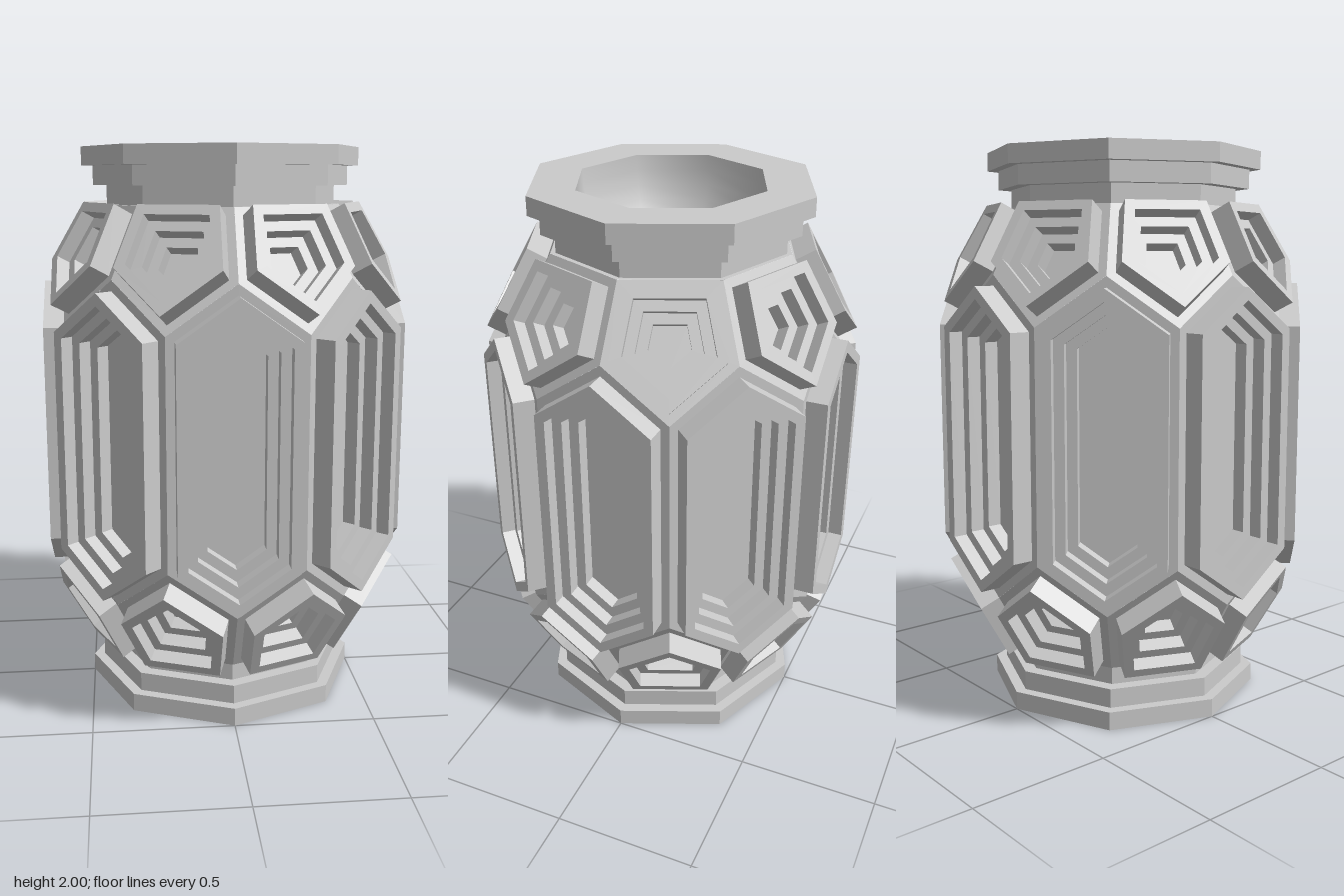
import * as THREE from 'three';

const SIDES = 8;
const APOTHEM = 0.567;                                  // body wall distance from the axis
const CORNER = APOTHEM / Math.cos(Math.PI / SIDES);     // body corner radius
const HALF = APOTHEM * Math.tan(Math.PI / SIDES);       // half width of a wall
const TILT = Math.atan2(0.475, 0.88);                   // lean of the shoulder facets

// [inset, height] of each loop: flat border, raised frame, three steps down
const STEPS = [
  [0, 0], [0.03, 0], [0.03, 0.074], [0.065, 0.074], [0.065, 0.024],
  [0.1, 0.024], [0.1, -0.026], [0.135, -0.026], [0.135, -0.076],
];

// Moves every edge of a counter-clockwise convex outline inward by d
function inset(outline, d) {
  const n = outline.length;
  return outline.map((p, i) => {
    const e1 = p.clone().sub(outline[(i + n - 1) % n]).normalize();
    const e2 = outline[(i + 1) % n].clone().sub(p).normalize();
    const n1 = new THREE.Vector2(-e1.y, e1.x);
    const n2 = new THREE.Vector2(-e2.y, e2.x);
    return p.clone().addScaledVector(n1.clone().add(n2), d / (1 + n1.dot(n2)));
  });
}

// Stepped, framed facet lying in the xy plane and facing +z
function panelGeometry(points) {
  const outline = points.map(([x, y]) => new THREE.Vector2(x, y));
  const n = outline.length;
  const positions = [];
  const index = [];
  STEPS.forEach(([d, h], k) => {
    inset(outline, d).forEach((p) => positions.push(p.x, p.y, h));
    if (k === 0) return;
    for (let i = 0; i < n; i++) {
      const j = (i + 1) % n;
      const a = (k - 1) * n, b = k * n;
      index.push(a + i, a + j, b + j, a + i, b + j, b + i);
    }
  });
  // floor of the recess
  const last = (STEPS.length - 1) * n;
  for (let i = 1; i < n - 1; i++) index.push(last, last + i, last + i + 1);
  const indexed = new THREE.BufferGeometry();
  indexed.setAttribute('position', new THREE.Float32BufferAttribute(positions, 3));
  indexed.setIndex(index);
  const geometry = indexed.toNonIndexed();
  geometry.computeVertexNormals();
  return geometry;
}

// Octagonal turned part with corners on the x and z axes
function turned(name, profile, material) {
  const points = profile.map(([r, y]) => new THREE.Vector2(r, y));
  const mesh = new THREE.Mesh(new THREE.LatheGeometry(points, SIDES), material);
  mesh.name = name;
  return mesh;
}

export function createModel() {
  const model = new THREE.Group();
  model.name = 'facetedVase';
  const flat = new THREE.MeshStandardMaterial({ color: 0xcccccc, flatShading: true });
  const smooth = new THREE.MeshStandardMaterial({ color: 0xcccccc });

  // Stepped foot and neck
  const foot = [[0, 0], [0.5, 0], [0.5, 0.065], [0.46, 0.065], [0.46, 0.133],
    [0.412, 0.133], [0.412, 0.2], [0.43, 0.2]];
  const neck = foot.slice(1).reverse().map(([r, y]) => [r, 2 - y]);
  model.add(turned('foot', foot, flat));
  model.add(turned('neck', [...neck, [0.335, 2]], flat));

  // Smooth bowl inside the mouth
  const bowl = [];
  for (let i = 0; i <= 12; i++) {
    const a = (i / 12) * Math.PI / 2;
    bowl.push([0.335 * Math.cos(a), 2 - 0.4 * Math.sin(a)]);
  }
  model.add(turned('innerBowl', bowl, smooth));

  // Tall six-sided wall panel and five-sided shoulder panel
  const wall = panelGeometry([
    [0, -0.566], [HALF, -0.4], [HALF, 0.4], [0, 0.566], [-HALF, 0.4], [-HALF, -0.4],
  ]);
  const shoulder = panelGeometry([
    [0, 0], [0.217, 0.189], [0.165, 0.4545], [-0.165, 0.4545], [-0.217, 0.189],
  ]);

  for (let i = 0; i < SIDES; i++) {
    const angle = (i / SIDES) * Math.PI * 2;

    const side = new THREE.Group();
    side.rotation.y = angle;
    const panel = new THREE.Mesh(wall, flat);
    panel.name = 'wallPanel';
    panel.position.set(0, 1, APOTHEM);
    side.add(panel);
    model.add(side);

    // shoulder panels above, and the same turned over below
    const corner = new THREE.Group();
    corner.rotation.y = angle + Math.PI / SIDES;
    for (const lower of [false, true]) {
      const half = new THREE.Group();
      if (lower) {
        half.position.y = 2;
        half.rotation.z = Math.PI;
      }
      const facet = new THREE.Mesh(shoulder, flat);
      facet.name = lower ? 'lowerPanel' : 'upperPanel';
      facet.position.set(0, 1.4, CORNER);
      facet.rotation.x = -TILT;
      half.add(facet);
      corner.add(half);
    }
    model.add(corner);
  }
  return model;
}
